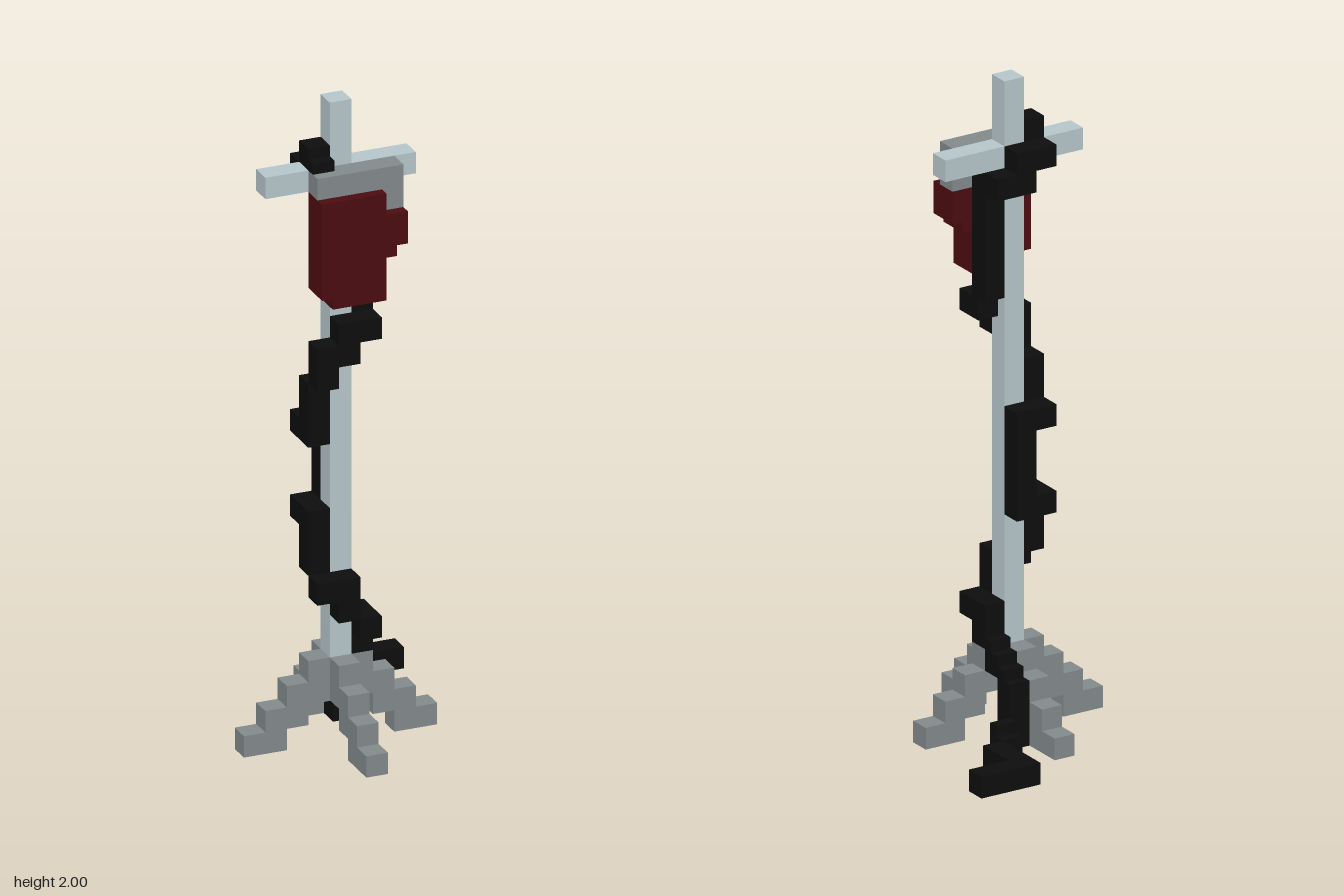
import * as THREE from 'three';

const U = 1 / 15; // one block

export function createModel() {
  const model = new THREE.Group();
  const mat = (name, color) => {
    const m = new THREE.MeshStandardMaterial({ color });
    m.name = name;
    return m;
  };
  const pale = mat('paleSteel', 0xb5c5ca);
  const gray = mat('graySteel', 0x82898b);
  const red = mat('bagRed', 0x4b0c10);
  const black = mat('hoseBlack', 0x0d0d0d);

  const group = (name) => {
    const g = new THREE.Group();
    g.name = name;
    model.add(g);
    return g;
  };

  // Box from block ranges; z is counted from the back face of the pole
  function box(parent, name, material, x0, x1, y0, y1, z0, z1) {
    const geometry = new THREE.BoxGeometry((x1 - x0) * U, (y1 - y0) * U, (z1 - z0) * U);
    const mesh = new THREE.Mesh(geometry, material);
    mesh.position.set((x0 + x1) / 2 * U, (y0 + y1) / 2 * U, ((z0 + z1) / 2 + 0.5) * U);
    mesh.name = name;
    parent.add(mesh);
  }

  // Pole and crossbar
  box(model, 'pole', pale, -1, 0, 4, 30, 0, 1);
  box(model, 'crossbarRight', pale, -4, -1, 26, 27, 0, 1);
  box(model, 'crossbarLeft', pale, 0, 3, 26, 27, 0, 1);

  // Four stepped legs around a hub
  const base = group('base');
  box(base, 'hub', gray, -1, 0, 2, 4, 0, 1);
  for (let step = 0; step < 4; step++) {
    const y = 3 - step;
    const inner = Math.max(0.5, step - 0.5);
    const outer = step + 1.5;
    for (const [a, b] of [[inner, outer], [-outer, -inner]]) {
      box(base, 'sideLegStep', gray, a - 0.5, b - 0.5, y, y + 1, 0, 1);
      box(base, 'frontBackLegStep', gray, -1, 0, y, y + 1, a + 0.5, b + 0.5);
    }
  }

  // Hanger in front of the crossbar
  const hanger = group('hanger');
  box(hanger, 'hangerBar', gray, -2, 2, 26, 27, 1, 2);
  box(hanger, 'hangerEnd', gray, 1, 2, 25, 26, 1, 2);

  // Bag with stepped edges: left, right, bottom, top
  const bag = group('bag');
  for (const layer of [
    [-2, 1, 25, 26], [-2, 2, 23.5, 25], [-2, 1.5, 23, 23.5], [-2, 1, 21.5, 23], [-1.5, 1, 21, 21.5],
  ]) box(bag, 'bagLayer', red, ...layer, 1, 2.5);

  // Hose: one-block columns winding down the pole, as x, z, bottom, top
  const hose = group('hose');
  for (const [x, z, y0, y1] of [
    [-2, 0, 27, 28], [-2, -1, 26, 27], [-1, -1, 25, 27], [0, -1, 25, 26], // over the bar and behind
    [0, 0, 20, 26], [0, 1, 19, 20], [-1, 1, 18, 20], [-2, 1, 17, 19], // first turn
    [-2, 0, 14, 17], [-2, -1, 14, 15], [-1, -1, 10, 15], [-2, -1, 10, 11], // behind the pole
    [-2, 0, 8, 11], [-2, 1, 7, 8], [-1, 1, 6, 8], [0, 1, 5, 6], [0, 0, 4, 6], // second turn
    [0, -2, 0, 3], [1, -3, 0, 1], // down to the floor
  ]) box(hose, 'hoseSegment', black, x, x + 1, y0, y1, z, z + 1);

  // Half-block bends
  box(hose, 'hoseHook', black, -2, -1, 27, 27.5, 1, 1.5);
  box(hose, 'hoseUpperBend', black, 0, 1, 19, 20, 0.5, 1);
  for (let i = 0; i < 4; i++) {
    box(hose, 'hoseSlope', black, 0, 1, i < 2 ? 3 : 2.5, 4.5 - i / 2, -(i + 1) / 2, -i / 2);
  }
  box(hose, 'hoseLowerBend', black, 1, 2, 1, 1.5, -2.5, -2);

  // Tail along the floor
  box(hose, 'hoseTail', black, 2, 3, 0, 1, -6, -3);
  box(hose, 'hoseTailEnd', black, 3, 5, 0, 1, -6, -5);

  return model;
}
